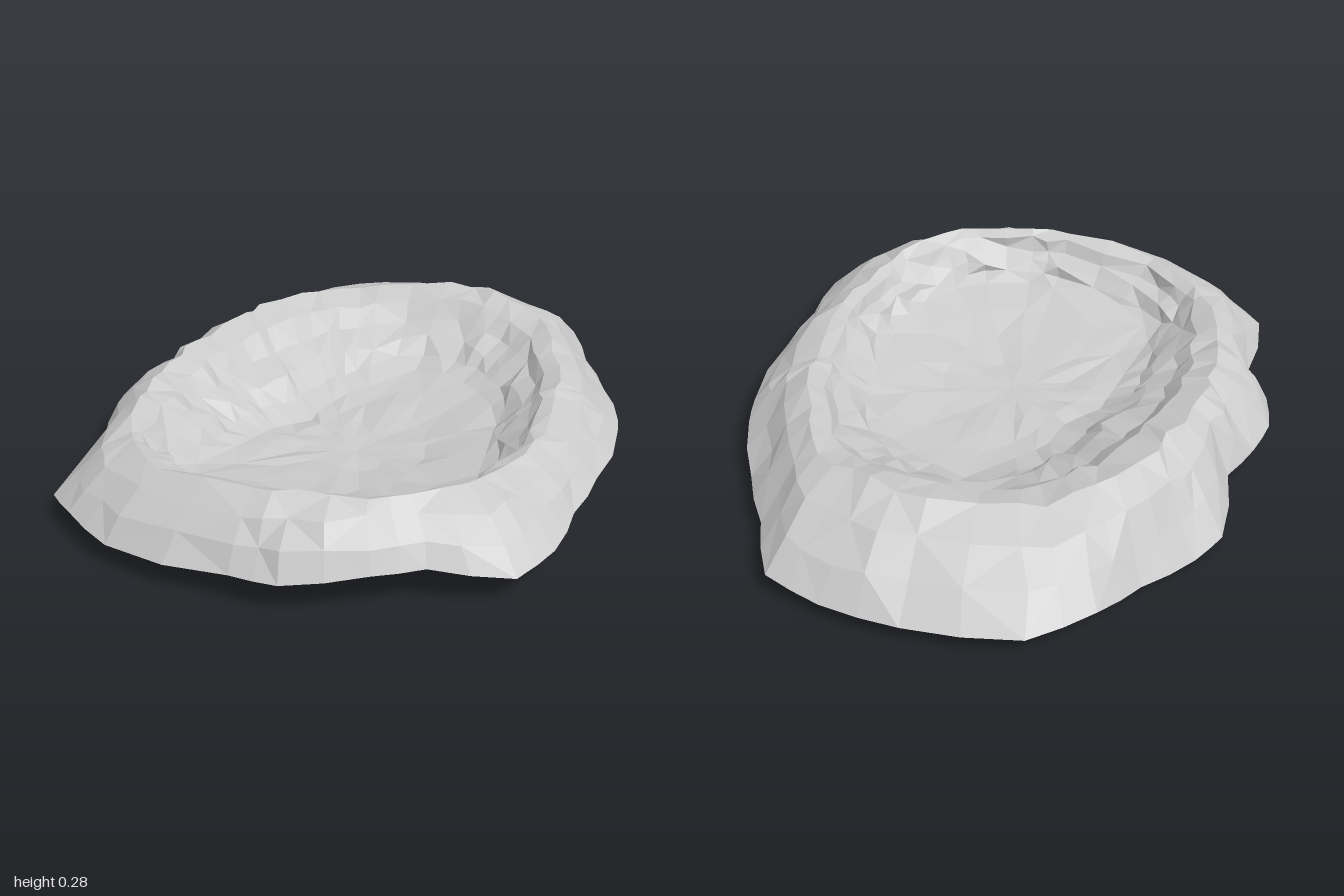
import * as THREE from 'three';

const CX = 0.04, CZ = 0.11, DEPTH = 0.05;

// Loops of [x, z, y] running clockwise from above: ground edge, rim crest, foot of the inner wall
const EDGE = [
  [0.86, 0.04, 0.1], [0.89, 0.2, 0.09], [0.75, 0.39, 0.12], [0.69, 0.53, 0.12], [0.56, 0.73, 0.1],
  [0.43, 0.8, 0.09], [0.08, 0.98, 0.07], [-0.12, 0.99, 0.08], [-0.26, 0.97, 0.06], [-0.42, 0.72, 0.06],
  [-0.56, 0.64, 0.06], [-0.66, 0.53, 0.06], [-0.7, 0.41, 0.05], [-0.72, 0.27, 0.04], [-0.88, 0.06, 0.02],
  [-0.88, -0.05, 0], [-0.87, -0.26, 0.02], [-0.89, -0.45, 0.06], [-0.84, -0.66, 0.06], [-0.58, -0.86, 0.05],
  [-0.37, -0.96, 0.05], [-0.19, -1, 0.06], [0, -0.88, 0.06], [0.19, -0.78, 0.06], [0.4, -0.64, 0.08],
  [0.47, -0.57, 0.09], [0.65, -0.31, 0.1], [0.75, -0.13, 0.1],
];
const CREST = [
  [0.65, 0.2, 0.26], [0.6, 0.4, 0.28], [0.43, 0.6, 0.28], [0.2, 0.74, 0.26], [0, 0.8, 0.24],
  [-0.2, 0.75, 0.23], [-0.4, 0.55, 0.23], [-0.55, 0.35, 0.24], [-0.65, 0.1, 0.25], [-0.68, -0.2, 0.25],
  [-0.63, -0.4, 0.23], [-0.48, -0.58, 0.25], [-0.3, -0.69, 0.27], [-0.08, -0.71, 0.25],
  [0.14, -0.58, 0.24], [0.34, -0.42, 0.23], [0.5, -0.23, 0.23], [0.61, 0, 0.24],
];
const FOOT = [
  [0.52, 0.2, 0.13], [0.42, 0.45, 0.14], [0.25, 0.55, 0.13], [0.05, 0.63, 0.12], [-0.1, 0.6, 0.1],
  [-0.17, 0.4, 0.065], [-0.22, 0.1, 0.048], [-0.26, -0.15, 0.06], [-0.27, -0.33, 0.085],
  [0.08, -0.37, 0.095], [0.31, -0.18, 0.11], [0.47, 0, 0.12],
];

const TAU = Math.PI * 2;
const angleOf = (p) => (Math.atan2(p[1] - CZ, p[0] - CX) + TAU) % TAU;

// Radius and height of a loop at any angle
function sampler(loop) {
  const pts = loop.map((p) => ({ a: angleOf(p), r: Math.hypot(p[0] - CX, p[1] - CZ), y: p[2] }))
    .sort((p, q) => p.a - q.a);
  const n = pts.length;
  const all = [{ ...pts[n - 1], a: pts[n - 1].a - TAU }, ...pts, { ...pts[0], a: pts[0].a + TAU }];
  return (a) => {
    const i = Math.max(1, all.findIndex((p) => p.a >= a));
    const p = all[i - 1], q = all[i], t = (a - p.a) / (q.a - p.a);
    return { r: p.r + (q.r - p.r) * t, y: p.y + (q.y - p.y) * t };
  };
}

function seeded(seed) {
  return () => {
    seed = (seed * 16807) % 2147483647;
    return seed / 2147483647 - 0.5;
  };
}

export function createModel() {
  const rnd = seeded(4217);
  const edge = sampler(EDGE), crest = sampler(CREST), foot = sampler(FOOT);

  // Two segments per outline point, so every corner of the outline is kept
  const corners = EDGE.map(angleOf).sort((a, b) => a - b);
  const angles = corners.flatMap((a, i) => {
    const next = i + 1 < corners.length ? corners[i + 1] : corners[0] + TAU;
    return [a, ((a + next) / 2) % TAU];
  });

  const positions = [], index = [], rings = [];
  function addRing(from, to, t, h, step, jitter) {
    const ring = [];
    for (let j = 0; j < angles.length; j += step) {
      const a = angles[j], p = from(a), q = to(a);
      const r = p.r + (q.r - p.r) * t + rnd() * jitter;
      const y = p.y + (q.y - p.y) * h + rnd() * jitter * 0.6;
      const b = a + rnd() * jitter * 0.8;
      ring.push(positions.length / 3);
      positions.push(CX + Math.cos(b) * r, y, CZ + Math.sin(b) * r);
    }
    rings.push(ring);
  }

  // Outer slope: [distance, height] from ground edge to crest
  for (const [t, h] of [[0, 0], [0.28, 0.4], [0.6, 0.76], [1, 1]]) {
    addRing(edge, crest, t, h, 1, t === 0 ? 0 : 0.028);
  }
  // Softly terraced inner wall: [distance, height] from crest to foot
  for (const [t, h] of [[0.24, 0.14], [0.4, 0.42], [0.62, 0.6], [0.78, 0.84]]) {
    addRing(crest, foot, t, h, 1, 0.026);
  }
  // Rounded bowl floor, with fewer segments towards the middle
  const middle = () => ({ r: 0, y: DEPTH });
  addRing(foot, middle, 0, 0, 2, 0.02);
  addRing(foot, middle, 0.25, 0.38, 2, 0.02);
  addRing(foot, middle, 0.5, 0.68, 2, 0.02);
  addRing(foot, middle, 0.76, 0.92, 4, 0.015);

  // Stitch neighbouring rings, halving where the count drops
  for (let k = 0; k + 1 < rings.length; k++) {
    const A = rings[k], B = rings[k + 1], n = B.length;
    for (let j = 0; j < n; j++) {
      const b0 = B[j], b1 = B[(j + 1) % n];
      if (A.length === n) {
        const a0 = A[j], a1 = A[(j + 1) % n];
        if ((j + k) % 2) index.push(a0, b0, a1, a1, b0, b1);
        else index.push(a0, b0, b1, a0, b1, a1);
      } else {
        const a0 = A[2 * j], a1 = A[2 * j + 1], a2 = A[(2 * j + 2) % A.length];
        index.push(a0, b0, a1, a1, b0, b1, a1, b1, a2);
      }
    }
  }
  const last = rings[rings.length - 1], centre = positions.length / 3;
  positions.push(CX, DEPTH, CZ);
  last.forEach((v, j) => index.push(v, centre, last[(j + 1) % last.length]));

  const geometry = new THREE.BufferGeometry();
  geometry.setAttribute('position', new THREE.Float32BufferAttribute(positions, 3));
  geometry.setIndex(index);
  geometry.computeVertexNormals();

  const material = new THREE.MeshStandardMaterial({
    color: 0xcccccc, flatShading: true, side: THREE.DoubleSide,
  });
  const crater = new THREE.Mesh(geometry, material);
  crater.name = 'crater';

  const group = new THREE.Group();
  group.name = 'craterRock';
  group.add(crater);
  return group;
}
